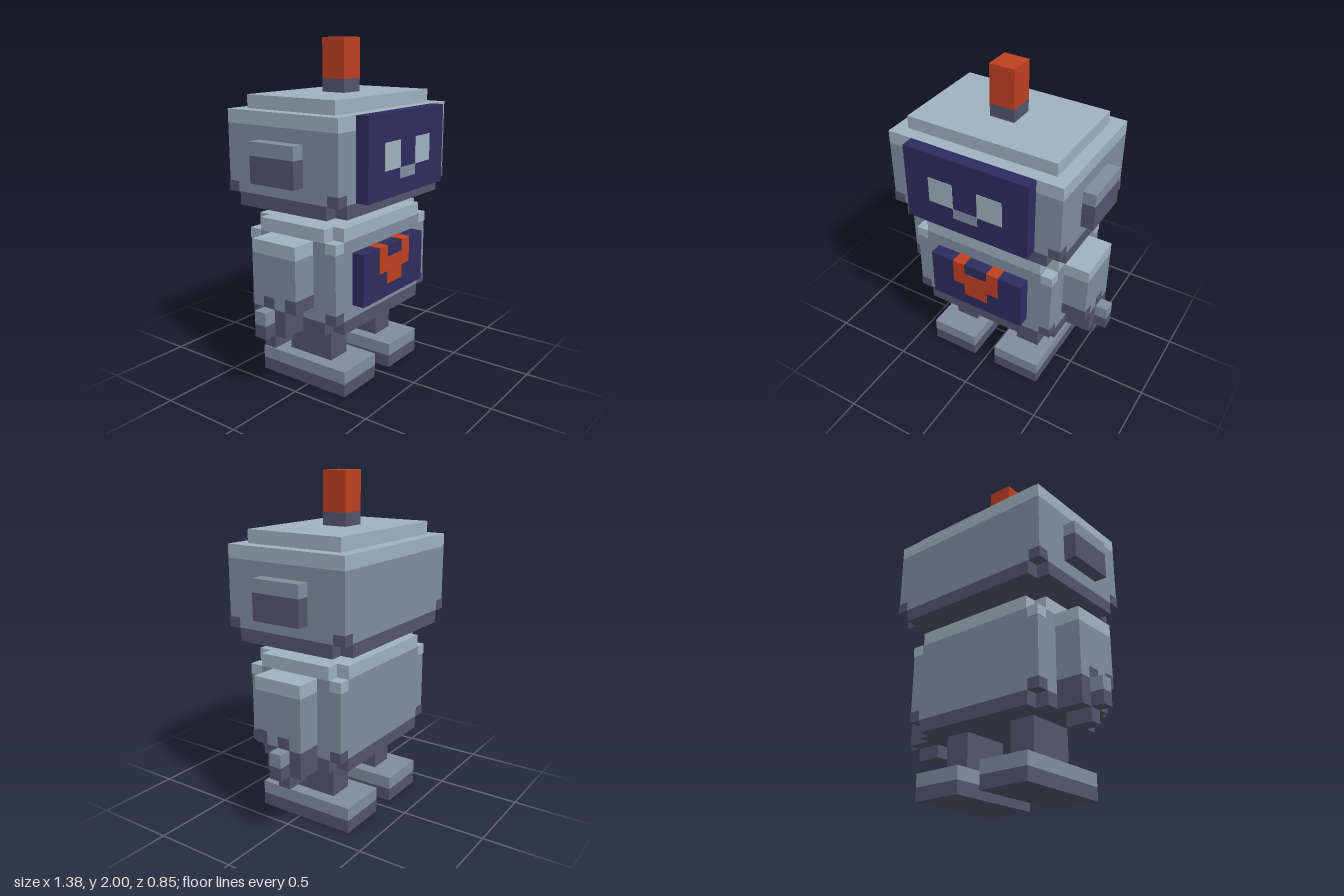
import * as THREE from 'three';

const U = 1 / 13; // one block of the grid

function material(name, color) {
  const m = new THREE.MeshStandardMaterial({ color });
  m.name = name;
  return m;
}

export function createModel() {
  const light = material('pale steel', 0xa0b2bf);
  const mid = material('steel', 0x808da0);
  const dark = material('dark steel', 0x52566e);
  const navy = material('screen navy', 0x2d2d60);
  const orange = material('signal orange', 0xc04020);

  const robot = new THREE.Group();
  robot.name = 'robot';

  // Box from its limits, given in blocks
  function box(name, mat, [x0, x1], [y0, y1], [z0, z1], parent = robot) {
    const geo = new THREE.BoxGeometry((x1 - x0) * U, (y1 - y0) * U, (z1 - z0) * U);
    geo.translate((x0 + x1) / 2 * U, (y0 + y1) / 2 * U, (z0 + z1) / 2 * U);
    const mesh = new THREE.Mesh(geo, mat);
    mesh.name = name;
    parent.add(mesh);
    return mesh;
  }

  // Horizontal layer with one block missing at each corner
  function notchedLayer(name, mat, hx, hz, [y0, y1]) {
    const corners = [
      [hx, 1 - hz], [hx, hz - 1], [hx - 1, hz - 1], [hx - 1, hz],
      [1 - hx, hz], [1 - hx, hz - 1], [-hx, hz - 1], [-hx, 1 - hz],
      [1 - hx, 1 - hz], [1 - hx, -hz], [hx - 1, -hz], [hx - 1, 1 - hz],
    ].map(([x, z]) => new THREE.Vector2(x * U, z * U));
    const geo = new THREE.ExtrudeGeometry(new THREE.Shape(corners), { depth: (y1 - y0) * U, bevelEnabled: false });
    geo.rotateX(-Math.PI / 2);
    geo.translate(0, y0 * U, -0.5 * U);
    const mesh = new THREE.Mesh(geo, mat);
    mesh.name = name;
    robot.add(mesh);
  }

  // Tinted caps on the four corners next to the notches
  function cornerCaps(name, mat, hx, hz, ys) {
    const e = 0.04;
    for (const sx of [-1, 1]) for (const sz of [-1, 1]) {
      const xs = [sx * (hx - 0.9), sx * (hx + e)].sort((a, b) => a - b);
      const zs = [sz * (hz - 0.9) - 0.5, sz * (hz + e) - 0.5].sort((a, b) => a - b);
      box(name, mat, xs, ys, zs);
    }
  }

  // Head
  notchedLayer('headBase', dark, 7, 5, [14, 15]);
  box('headShell', mid, [-7, 7], [15, 20], [-5.5, 4.5]);
  box('headRim', light, [-7, 7], [20, 21], [-5.5, 4.5]);
  box('headTop', light, [-6, 6], [21, 22], [-4.5, 3.5]);
  cornerCaps('headCornerCap', dark, 7, 5, [14.96, 15.75]);

  // Face screen
  box('faceScreen', navy, [-5, 5], [15, 21], [4.5, 5.5]);
  box('mouth', mid, [-1, 1], [16.2, 17], [5.48, 5.54]);

  // Antenna and neck
  box('antennaBase', dark, [-1, 1], [22, 23], [-1.5, 0.5]);
  box('antennaTip', orange, [-1, 1], [23, 26], [-1.5, 0.5]);
  box('neck', dark, [-2, 2], [13, 14], [-2.5, 1.5]);

  // Body
  notchedLayer('bodyBase', dark, 6, 4, [5, 6]);
  box('bodyShell', mid, [-6, 6], [6, 12], [-4.5, 3.5]);
  notchedLayer('bodyTop', light, 6, 4, [12, 13]);
  cornerCaps('bodyUpperCap', light, 6, 4, [11.25, 12.04]);
  cornerCaps('bodyLowerCap', dark, 6, 4, [5.96, 6.75]);

  // Chest panel and its emblem
  box('chestPanel', navy, [-4, 4], [7, 11], [3.5, 4.5]);
  box('emblemMiddle', orange, [-2, 2], [9, 10.1], [4.4, 4.55]);
  box('emblemPoint', orange, [-1, 1], [8, 9], [4.4, 4.55]);

  // Paired parts
  for (const s of [-1, 1]) {
    const side = new THREE.Group();
    side.name = s > 0 ? 'leftSide' : 'rightSide';
    robot.add(side);
    const part = (name, mat, a, b, ys, zs) =>
      box(name, mat, s > 0 ? [a, b] : [-b, -a], ys, zs, side);

    part('eye', light, 1, 3, [17, 19], [5.48, 5.54]);
    part('emblemTip', orange, 1, 2, [10, 11.04], [3.5, 4.55]);

    // Ear
    part('earTop', mid, 7, 8, [18, 19], [-2.5, 1.5]);
    part('earLower', dark, 7, 8, [16, 18], [-2.5, 1.5]);

    // Arm
    part('shoulder', light, 6, 8, [11, 12], [-2.5, 1.5]);
    part('arm', mid, 6, 8, [8, 11], [-2.5, 1.5]);
    part('cuffFront', dark, 6, 8, [7, 8], [0.5, 1.5]);
    part('cuff', mid, 6, 8, [7, 8], [-2.5, 0.5]);
    part('cuffPatch', dark, 7.5, 8.04, [7, 7.85], [-1.5, -0.5]);

    // Hand
    part('hand', dark, 6, 8, [5, 7], [-2.5, 0.5]);
    part('finger', dark, 6, 8, [4, 5], [-1.5, -0.5]);
    part('thumbTop', mid, 8, 9, [6, 7], [-1.5, -0.5]);
    part('thumbLower', dark, 8, 9, [5, 6], [-1.5, -0.5]);

    // Leg and foot
    part('leg', dark, 2, 4, [2, 5], [-2.5, 1.5]);
    part('footTop', mid, 1, 5, [1, 2], [-4.5, 3.5]);
    part('sole', dark, 1, 5, [0, 1], [-4.5, 3.5]);
  }

  return robot;
}
